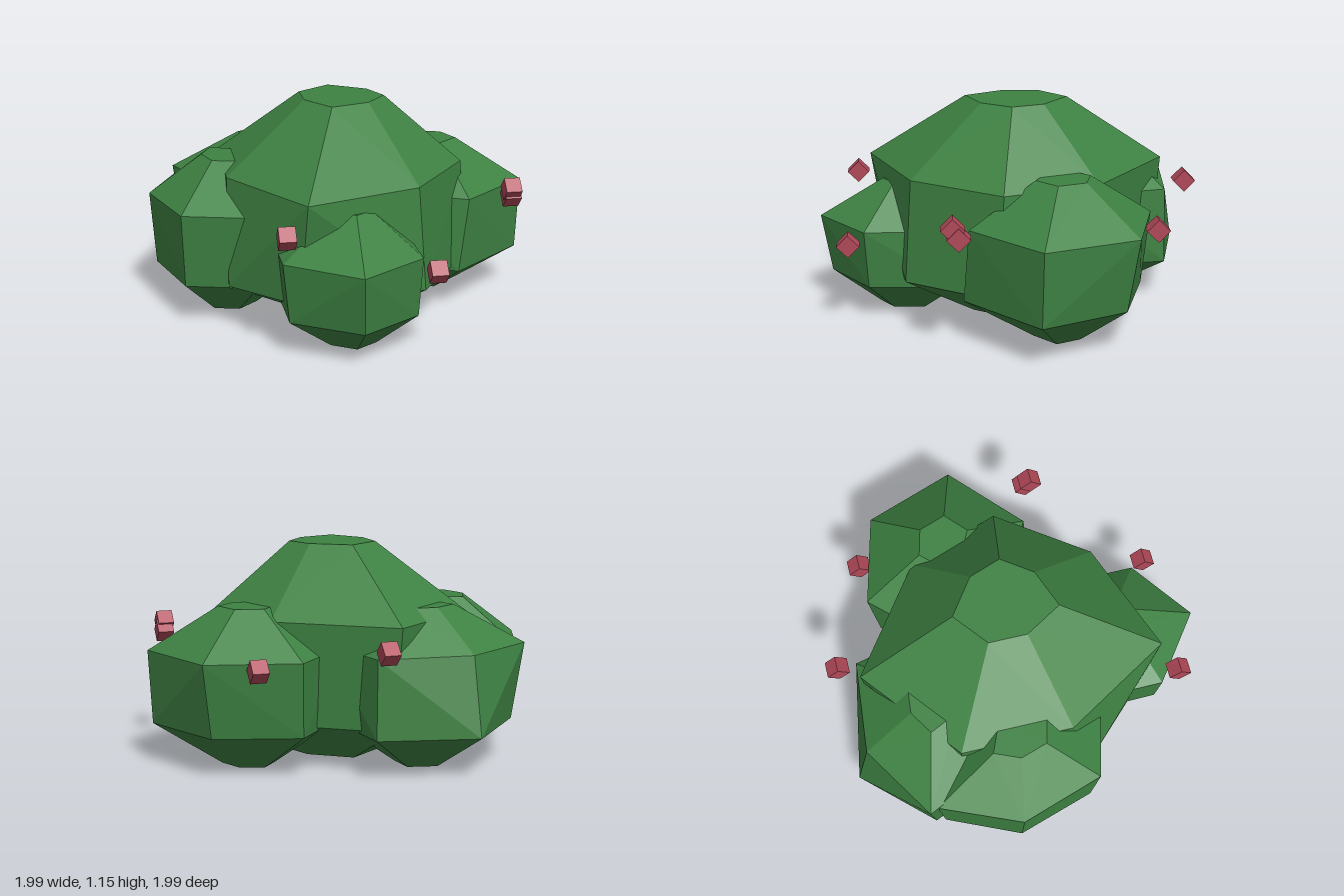
import * as THREE from 'three';
import { ConvexGeometry } from 'three/addons/geometries/ConvexGeometry.js';

// A faceted clump: shoulder and hip outlines [x, z], with the crown and
// the foot as scaled copies of them about the centre.
function clumpGeometry([cx, cz], shoulder, hip, heights, crownScale, footScale) {
  const ring = (outline, y, s) => outline.map(([x, z]) =>
    new THREE.Vector3(cx + (x - cx) * s, y, cz + (z - cz) * s));
  const [crownY, shoulderY, hipY, footY] = heights;
  return new ConvexGeometry([
    ...ring(shoulder, crownY, crownScale),
    ...ring(shoulder, shoulderY, 1),
    ...ring(hip, hipY, 1),
    ...ring(hip, footY, footScale),
  ]);
}

export function createModel() {
  const model = new THREE.Group();
  model.name = 'berryBush';

  const leafGreen = new THREE.MeshStandardMaterial({ color: 0x3e8243, flatShading: true });
  leafGreen.name = 'leafGreen';
  const berryRed = new THREE.MeshStandardMaterial({ color: 0xb04858, flatShading: true });
  berryRed.name = 'berryRed';

  function addPart(name, geometry, material) {
    const mesh = new THREE.Mesh(geometry, material);
    mesh.name = name;
    model.add(mesh);
    return mesh;
  }

  // Large central clump
  addPart('mainFoliage', clumpGeometry([0, 0.06],
    [[-0.19, -0.67], [0.49, -0.59], [0.6, 0.1], [0.37, 0.58], [-0.2, 0.67], [-0.79, 0.4], [-0.62, -0.25]],
    [[-0.17, -0.65], [0.47, -0.54], [0.58, 0.1], [0.38, 0.61], [-0.2, 0.72], [-0.75, 0.32], [-0.74, -0.15]],
    [1.155, 0.79, 0.245, 0.005], 0.34, 0.4), leafGreen);

  // Four smaller clumps around it
  addPart('frontLeftFoliage', clumpGeometry([0.51, 0.28],
    [[0.74, -0.16], [0.995, 0.27], [0.77, 0.74], [0.25, 0.71], [0.12, 0.3], [0.27, -0.15]],
    [[0.7, -0.14], [0.92, 0.27], [0.75, 0.73], [0.19, 0.69], [0.12, 0.3], [0.27, -0.12]],
    [0.85, 0.62, 0.225, 0.005], 0.3, 0.29), leafGreen);
  addPart('frontRightFoliage', clumpGeometry([-0.47, 0.45],
    [[-0.88, 0.31], [-0.82, 0.755], [-0.4, 0.825], [-0.08, 0.51], [-0.28, 0.15], [-0.65, 0.08]],
    [[-0.855, 0.33], [-0.77, 0.725], [-0.4, 0.8], [-0.05, 0.5], [-0.28, 0.16], [-0.63, 0.1]],
    [0.71, 0.5, 0.19, 0.005], 0.26, 0.36), leafGreen);
  addPart('backLeftFoliage', clumpGeometry([0.08, -0.52],
    [[0.27, -0.89], [0.59, -0.5], [0.32, -0.08], [-0.15, -0.05], [-0.38, -0.5], [-0.2, -1]],
    [[0.32, -0.955], [0.6, -0.5], [0.3, -0.12], [-0.12, -0.07], [-0.35, -0.5], [-0.18, -0.94]],
    [0.85, 0.64, 0.225, 0.005], 0.31, 0.3), leafGreen);
  addPart('backRightFoliage', clumpGeometry([-0.4, -0.43],
    [[-0.64, -0.78], [-0.86, -0.36], [-0.66, -0.01], [-0.22, 0], [0, -0.42], [-0.21, -0.95]],
    [[-0.62, -0.76], [-0.83, -0.37], [-0.64, -0.04], [-0.23, -0.03], [-0.03, -0.42], [-0.22, -0.91]],
    [0.84, 0.62, 0.225, 0.005], 0.32, 0.36), leafGreen);

  // Berries: small cubes rolled onto an edge and turned diagonally
  const cube = new THREE.BoxGeometry(0.085, 0.085, 0.085);
  const berrySpots = [
    [-0.925, 0.66, 0.37], [-0.42, 0.455, 0.92], [0.335, 0.695, 0.915],
    [0.36, 0.65, 0.9], [0.65, 0.69, -0.585], [0.905, 0.595, 0.005],
  ];
  berrySpots.forEach((spot, i) => {
    const berry = addPart(`berry${i + 1}`, cube, berryRed);
    berry.position.set(...spot);
    berry.rotation.set(Math.PI / 4, -Math.PI / 4, 0, 'YXZ');
  });

  return model;
}
